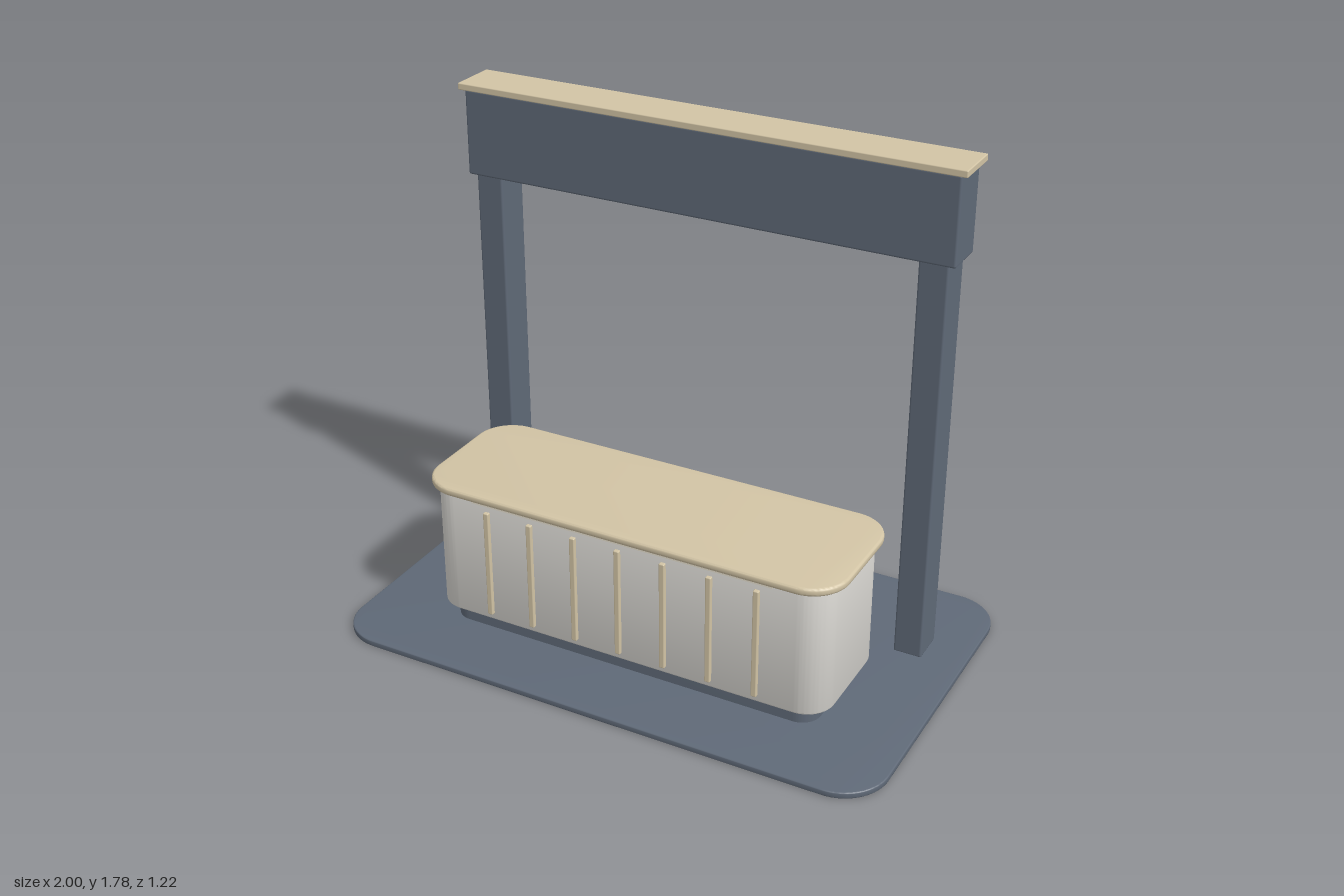
import * as THREE from 'three';
import { RoundedBoxGeometry } from 'three/addons/geometries/RoundedBoxGeometry.js';
import { toCreasedNormals } from 'three/addons/utils/BufferGeometryUtils.js';

const material = (name, color) => {
  const m = new THREE.MeshStandardMaterial({ color });
  m.name = name;
  return m;
};

// Rounded rectangle in plan, raised from y0 to y1, with an optional softened rim
function slab(w, d, radius, y0, y1, bevel = 0) {
  const x = w / 2 - bevel, z = d / 2 - bevel, r = radius - bevel;
  const s = new THREE.Shape();
  s.moveTo(-x + r, -z);
  s.lineTo(x - r, -z);
  s.absarc(x - r, -z + r, r, -Math.PI / 2, 0);
  s.lineTo(x, z - r);
  s.absarc(x - r, z - r, r, 0, Math.PI / 2);
  s.lineTo(-x + r, z);
  s.absarc(-x + r, z - r, r, Math.PI / 2, Math.PI);
  s.lineTo(-x, -z + r);
  s.absarc(-x + r, -z + r, r, Math.PI, Math.PI * 1.5);
  const g = new THREE.ExtrudeGeometry(s, {
    depth: y1 - y0 - 2 * bevel, curveSegments: 12,
    bevelEnabled: bevel > 0, bevelThickness: bevel, bevelSize: bevel, bevelSegments: 3,
  });
  g.rotateX(-Math.PI / 2);
  g.translate(0, y0 + bevel, 0);
  return toCreasedNormals(g, 0.6);
}

export function createModel() {
  const slate = material('slate', 0x5f6977);
  const wood = material('pale wood', 0xd2c4a5);
  const panel = material('light panel', 0xd6d4cf);
  const glow = material('warm white', 0xece5d4);
  const model = new THREE.Group();
  model.name = 'counterStand';

  const add = (name, geometry, mat, x = 0, y = 0, z = 0) => {
    const mesh = new THREE.Mesh(geometry, mat);
    mesh.name = name;
    mesh.position.set(x, y, z);
    model.add(mesh);
  };

  // Floor plate
  add('floorPlate', slab(2, 1.22, 0.16, 0, 0.022, 0.004), slate);

  // Counter
  const counterZ = 0.14;
  add('plinth', slab(1.38, 0.4, 0.07, 0.02, 0.082), slate, 0, 0, counterZ);
  add('counterBody', slab(1.47, 0.465, 0.1, 0.08, 0.542, 0.006), panel, 0, 0, counterZ);
  add('counterTop', slab(1.53, 0.51, 0.13, 0.54, 0.568, 0.009), wood, 0, 0, counterZ);
  add('counterLight', new THREE.BoxGeometry(1.11, 0.012, 0.012), glow, 0, 0.535, 0.375);

  // Vertical slats on the counter front
  for (let i = -3; i <= 3; i++) {
    add('slat', new RoundedBoxGeometry(0.02, 0.4, 0.018, 2, 0.004), wood, i / 6, 0.305, 0.377);
  }

  // Posts
  for (const side of [-1, 1]) {
    add(side > 0 ? 'leftPost' : 'rightPost',
      new RoundedBoxGeometry(0.1, 1.45, 0.13, 2, 0.008), slate, side * 0.805, 0.743, -0.25);
  }

  // Header beam, its cap and the light beneath
  add('header', new RoundedBoxGeometry(1.76, 0.3, 0.155, 2, 0.008), slate, 0, 1.606, -0.25);
  add('headerCap', new RoundedBoxGeometry(1.8, 0.024, 0.175, 2, 0.004), wood, 0, 1.766, -0.25);
  add('headerLight', new THREE.BoxGeometry(1.5, 0.014, 0.05), glow, 0, 1.452, -0.25);

  return model;
}
